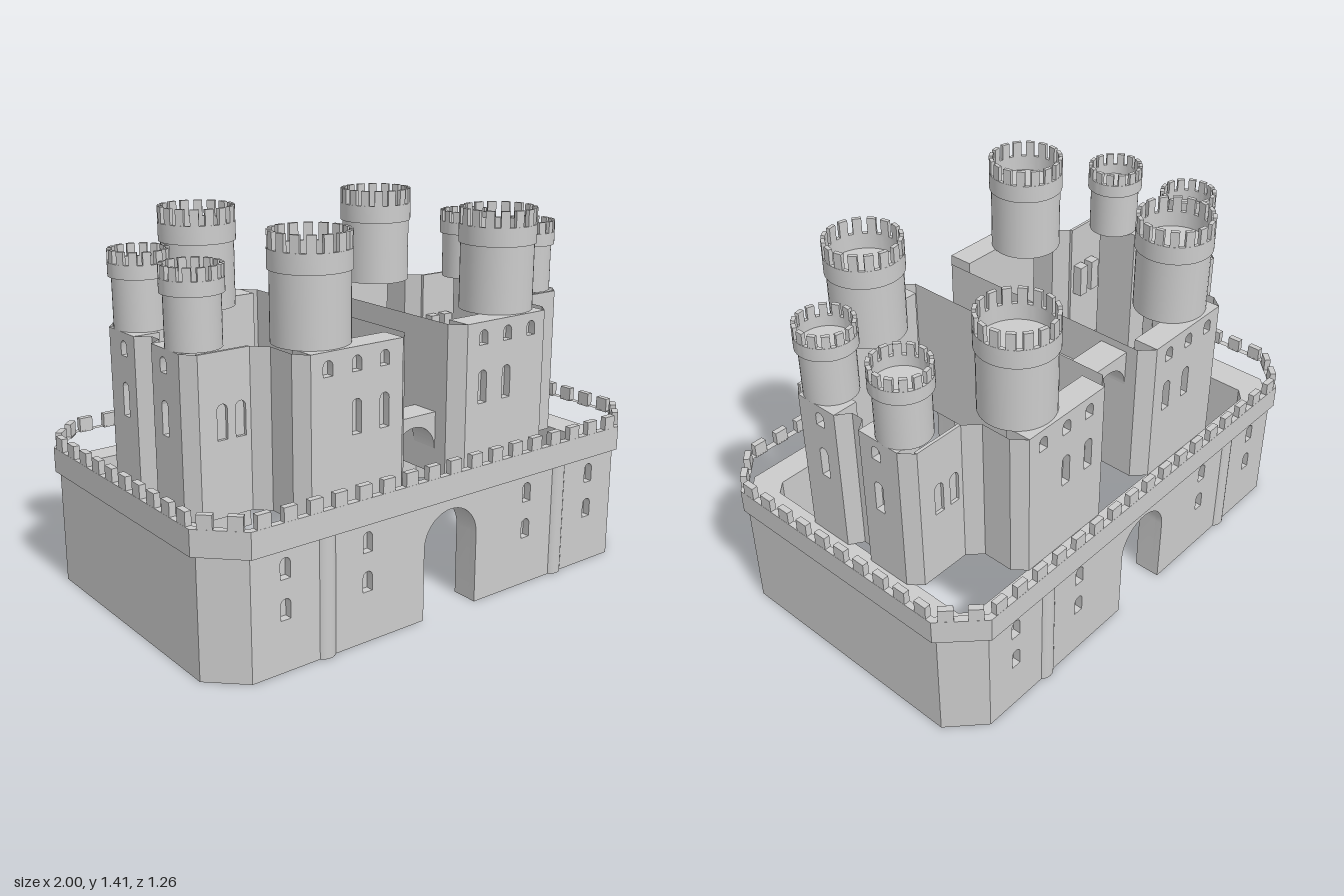
import * as THREE from 'three';
import { toCreasedNormals } from 'three/addons/utils/BufferGeometryUtils.js';

const stone = new THREE.MeshStandardMaterial({ color: 0xcccccc });
const thinStone = new THREE.MeshStandardMaterial({ color: 0xcccccc, side: THREE.DoubleSide });
const WALL_H = 0.45, KEEP_TOP = 1.03, NICHE = 0.03;

function add(parent, name, geometry, x = 0, y = 0, z = 0, material = stone) {
  const mesh = new THREE.Mesh(geometry, material);
  mesh.name = name;
  mesh.position.set(x, y, z);
  parent.add(mesh);
  return mesh;
}

const polygon = (pts) => new THREE.Shape(pts.map(([x, y]) => new THREE.Vector2(x, y)));

// Extrudes a plan (x, z) upwards from y = 0
function extrudeUp(shape, height) {
  const g = new THREE.ExtrudeGeometry(shape, { depth: height, bevelEnabled: false, curveSegments: 40 });
  return toCreasedNormals(g.rotateX(-Math.PI / 2), 0.5);
}

// Round-headed opening
function archPath(x, y0, y1, w) {
  const p = new THREE.Path(), r = w / 2;
  p.moveTo(x - r, y0);
  p.lineTo(x + r, y0);
  p.lineTo(x + r, y1 - r);
  p.absarc(x, y1 - r, r, 0, Math.PI, false);
  p.lineTo(x - r, y0);
  return p;
}

// Wall slab with blind windows [x, y0, y1]; its front lies on local z = 0
function panel(name, w, y0, y1, windows, thick, gate) {
  const group = new THREE.Group();
  group.name = name;
  const outline = () => {
    const s = new THREE.Shape();
    s.moveTo(-w / 2, y0);
    if (gate) {
      s.lineTo(-gate.r, y0);
      s.lineTo(-gate.r, gate.top - gate.r);
      s.absarc(0, gate.top - gate.r, gate.r, Math.PI, 0, true);
      s.lineTo(gate.r, y0);
    }
    s.lineTo(w / 2, y0);
    s.lineTo(w / 2, y1);
    s.lineTo(-w / 2, y1);
    return s;
  };
  const slab = (shape, depth) => toCreasedNormals(
    new THREE.ExtrudeGeometry(shape, { depth, bevelEnabled: false, curveSegments: 12 }), 0.5);
  const face = outline();
  face.holes = windows.map(([x, a, b]) => archPath(x, a, b, 0.04));
  const faceDepth = Math.min(thick, NICHE);
  add(group, 'windowedFace', slab(face, faceDepth), 0, 0, -faceDepth);
  if (thick > NICHE) add(group, 'wallCore', slab(outline(), thick - NICHE), 0, 0, -thick);
  else for (const [x, a, b] of windows) {
    add(group, 'windowBack', new THREE.BoxGeometry(0.045, b - a + 0.01, 0.04), x, (a + b) / 2, -thick - 0.02);
  }
  return group;
}

// Octagonal plan: half sizes X, Z with the corners cut at cx, cz
const octagon = (X, Z, cx, cz) => [
  [cx, Z], [X, cz], [X, -cz], [cx, -Z], [-cx, -Z], [-X, -cz], [-X, cz], [-cx, Z]];

function curtainWall() {
  const g = new THREE.Group();
  g.name = 'curtainWall';
  const windows = [];
  for (const x of [-0.72, -0.38, 0.38, 0.72]) windows.push([x, 0.19, 0.265], [x, 0.335, 0.41]);
  for (const s of [1, -1]) {
    // Gate wall, front and back
    const wall = panel('gateWall', 1.6, 0, WALL_H, windows, 0.105, { r: 0.125, top: 0.4 });
    wall.position.z = s * 0.61;
    if (s < 0) wall.rotation.y = Math.PI;
    g.add(wall);
    for (const x of [-0.55, 0.55]) {
      add(g, 'pilaster', new THREE.CylinderGeometry(0.045, 0.045, WALL_H, 24), x, WALL_H / 2, s * 0.58);
    }
    // End wall with cut corners
    const end = [[0.8, 0.61], [0.855, 0.61], [0.98, 0.49], [0.98, -0.49], [0.855, -0.61], [0.8, -0.61],
      [0.8, -0.505], [0.805, -0.505], [0.85, -0.465], [0.85, 0.465], [0.805, 0.505], [0.8, 0.505]];
    add(g, 'endWall', extrudeUp(polygon(end.map(([x, z]) => [s * x, z])), WALL_H));
  }
  // Parapet ring and merlons
  const rim = octagon(1, 0.63, 0.86, 0.49);
  const ring = polygon(rim);
  ring.holes.push(polygon(octagon(0.975, 0.605, 0.848, 0.478)));
  add(g, 'parapet', extrudeUp(ring, 0.095), 0, WALL_H - 0.005, 0);
  rim.forEach(([ax, az], i) => {
    const [bx, bz] = rim[(i + 1) % 8];
    const len = Math.hypot(bx - ax, bz - az), n = Math.round(len / 0.1);
    const ux = (bx - ax) / len, uz = (bz - az) / len;
    for (let k = 0; k < n; k++) {
      const t = (k + 0.5) * len / n;
      const m = add(g, 'merlon', new THREE.BoxGeometry(0.052, 0.055, 0.024),
        ax + ux * t + uz * 0.0125, 0.5625, az + uz * t - ux * 0.0125);
      m.rotation.y = Math.atan2(-uz, ux);
    }
  });
  return g;
}

// One quarter of the keep's plan, with windows on the thicker faces
const keepPlan = [[0.1, 0], [0.1, 0.46], [0.15, 0.51], [0.54, 0.51], [0.58, 0.46], [0.58, 0.34],
  [0.63, 0.29], [0.83, 0.29], [0.87, 0.24], [0.87, 0.06], [0.82, 0.025], [0.82, 0]];
const tall = (x) => [x, 0.725, 0.85], low = (x) => [x, 0.945, 1.0];
const keepFaces = {
  2: { thick: 0.1, windows: [tall(-0.115), tall(0.005), low(-0.115), low(0.005), low(0.125)] },
  6: { thick: 0.012, windows: [tall(-0.06), tall(0.012)] },
  8: { thick: 0.1, windows: [tall(0.013), low(0.013)] },
};

function keepQuarter(sx, sz) {
  const g = new THREE.Group();
  g.name = 'keepQuarter';
  const flip = sx * sz < 0;
  for (let i = 0; i < keepPlan.length - 1; i++) {
    let [a, b] = [keepPlan[i], keepPlan[i + 1]].map(([x, z]) => [sx * x, sz * z]);
    if (flip) [a, b] = [b, a];
    const dx = b[0] - a[0], dz = b[1] - a[1], len = Math.hypot(dx, dz), f = keepFaces[i];
    let wall;
    if (f) {
      const windows = f.windows.map(([x, y0, y1]) => [flip ? -x : x, y0, y1]);
      wall = panel('windowWall', len, WALL_H, KEEP_TOP, windows, f.thick);
      g.add(wall);
    } else {
      const plane = new THREE.PlaneGeometry(len, KEEP_TOP - WALL_H).translate(0, (KEEP_TOP + WALL_H) / 2, 0);
      wall = add(g, 'keepWall', plane, 0, 0, 0, thinStone);
    }
    wall.position.set((a[0] + b[0]) / 2, 0, (a[1] + b[1]) / 2);
    wall.rotation.y = Math.atan2(-dz, dx);
  }
  return g;
}

// Round tower: shaft, collar and ring of merlons
function tower(name, x, z, r, rim, collarY, rimY, topY, count) {
  const g = new THREE.Group();
  g.name = name;
  g.position.set(x, 0, z);
  const shaftTop = collarY + 0.01;
  add(g, 'shaft', new THREE.CylinderGeometry(r, r, shaftTop - KEEP_TOP, 40), 0, (shaftTop + KEEP_TOP) / 2, 0);
  const ring = new THREE.Shape().absarc(0, 0, rim, 0, Math.PI * 2, false);
  ring.holes.push(new THREE.Path().absarc(0, 0, rim - 0.015, 0, Math.PI * 2, true));
  add(g, 'collar', extrudeUp(ring, rimY - collarY), 0, collarY, 0);
  for (let i = 0; i < count; i++) {
    const a = (i + 0.5) / count * Math.PI * 2, d = rim - 0.0085;
    const m = add(g, 'towerMerlon', new THREE.BoxGeometry(Math.PI * rim / count * 1.15, topY - rimY + 0.005, 0.015),
      Math.sin(a) * d, (topY + rimY - 0.005) / 2, Math.cos(a) * d);
    m.rotation.y = a;
  }
  return g;
}

// Arched bridge across the passage
function bridge(z, top) {
  const s = new THREE.Shape();
  s.moveTo(-0.1, top - 0.14);
  s.absarc(0, top - 0.14, 0.098, Math.PI, 0, true);
  s.lineTo(0.1, top - 0.14);
  s.lineTo(0.1, top);
  s.lineTo(-0.1, top);
  const geo = new THREE.ExtrudeGeometry(s, { depth: 0.115, bevelEnabled: false, curveSegments: 20 });
  return toCreasedNormals(geo.translate(0, 0, z - 0.0575), 0.5);
}

export function createModel() {
  const model = new THREE.Group();
  model.name = 'castle';
  model.add(curtainWall());
  for (const sx of [1, -1]) for (const sz of [1, -1]) {
    model.add(keepQuarter(sx, sz));
    model.add(tower('bigTower', sx * 0.43, sz * 0.36, 0.138, 0.145, 1.28, 1.35, 1.41, 16));
    model.add(tower('smallTower', sx * 0.775, sz * 0.178, 0.097, 0.109, 1.215, 1.265, 1.31, 14));
  }
  const bridges = [[0.345, 0.69], [0.12, 0.93], [-0.005, 0.64], [-0.13, 0.86], [-0.355, 1.0]];
  for (const [z, top] of bridges) add(model, 'bridge', bridge(z, top));
  return model;
}
